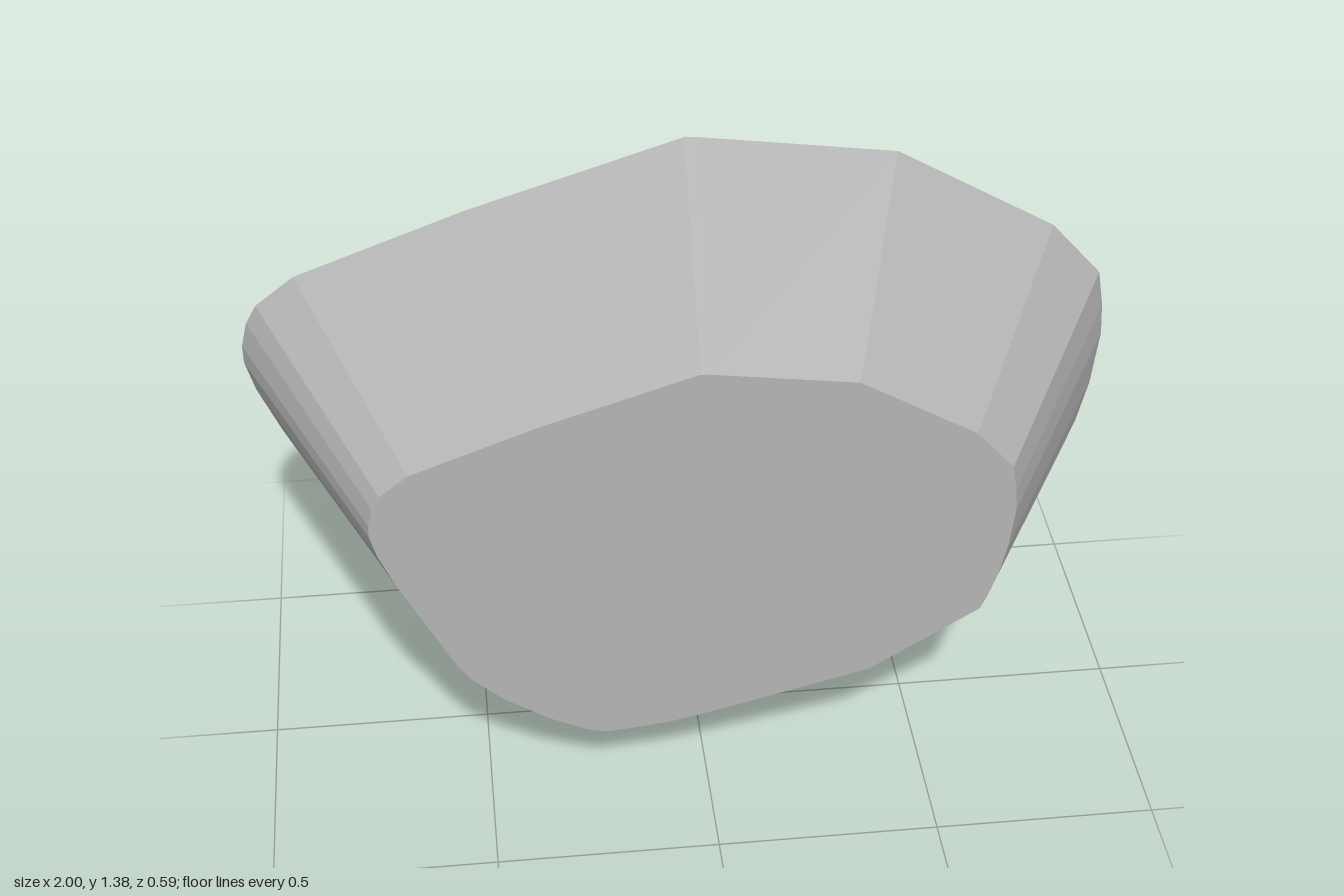
import * as THREE from 'three';

// Back outline, anticlockwise seen from the front
const OUTLINE = [
  [-0.29, 0], [-0.22, 0.005], [-0.08, 0.023], [0.04, 0.05], [0.56, 0.185],
  [0.91, 0.405], [0.93, 0.45], [0.96, 0.54], [0.985, 0.65], [1, 0.79],
  [0.995, 0.87], [0.98, 0.96], [0.86, 1.095], [0.49, 1.31], [0.04, 1.373],
  [0.01, 1.375], [-0.48, 1.22], [-0.87, 1.075], [-0.96, 1.005], [-0.985, 0.96],
  [-1, 0.9], [-1, 0.855], [-0.98, 0.78], [-0.93, 0.66], [-0.76, 0.32],
  [-0.72, 0.262], [-0.62, 0.17], [-0.48, 0.075], [-0.37, 0.02], [-0.33, 0.006],
];
const HALF_DEPTH = 0.297;

export function createModel() {
  const group = new THREE.Group();
  group.name = 'stone';
  const stone = new THREE.MeshStandardMaterial({ color: 0xb4b4b4, flatShading: true });
  stone.name = 'stone grey';

  const back = OUTLINE.map(([x, y]) => new THREE.Vector2(x, y));
  // The front face is the back outline shrunk and shifted
  const front = back.map((p) => new THREE.Vector2(p.x * 0.7 - 0.028, p.y * 0.7 + 0.185));

  // Tapered side wall
  const pos = [];
  back.forEach((b0, i) => {
    const j = (i + 1) % back.length;
    const b1 = back[j], f0 = front[i], f1 = front[j], d = HALF_DEPTH;
    pos.push(b0.x, b0.y, -d, b1.x, b1.y, -d, f1.x, f1.y, d);
    pos.push(b0.x, b0.y, -d, f1.x, f1.y, d, f0.x, f0.y, d);
  });
  const wall = new THREE.BufferGeometry();
  wall.setAttribute('position', new THREE.Float32BufferAttribute(pos, 3));
  wall.computeVertexNormals();

  // Flat end faces; the back one is mirrored then turned to face away
  const frontFace = new THREE.ShapeGeometry(new THREE.Shape(front));
  frontFace.translate(0, 0, HALF_DEPTH);
  const mirrored = back.map((p) => new THREE.Vector2(-p.x, p.y)).reverse();
  const backFace = new THREE.ShapeGeometry(new THREE.Shape(mirrored));
  backFace.rotateY(Math.PI).translate(0, 0, -HALF_DEPTH);

  const parts = { taperedWall: wall, frontFace, backFace };
  for (const [name, geometry] of Object.entries(parts)) {
    const mesh = new THREE.Mesh(geometry, stone);
    mesh.name = name;
    group.add(mesh);
  }
  return group;
}
